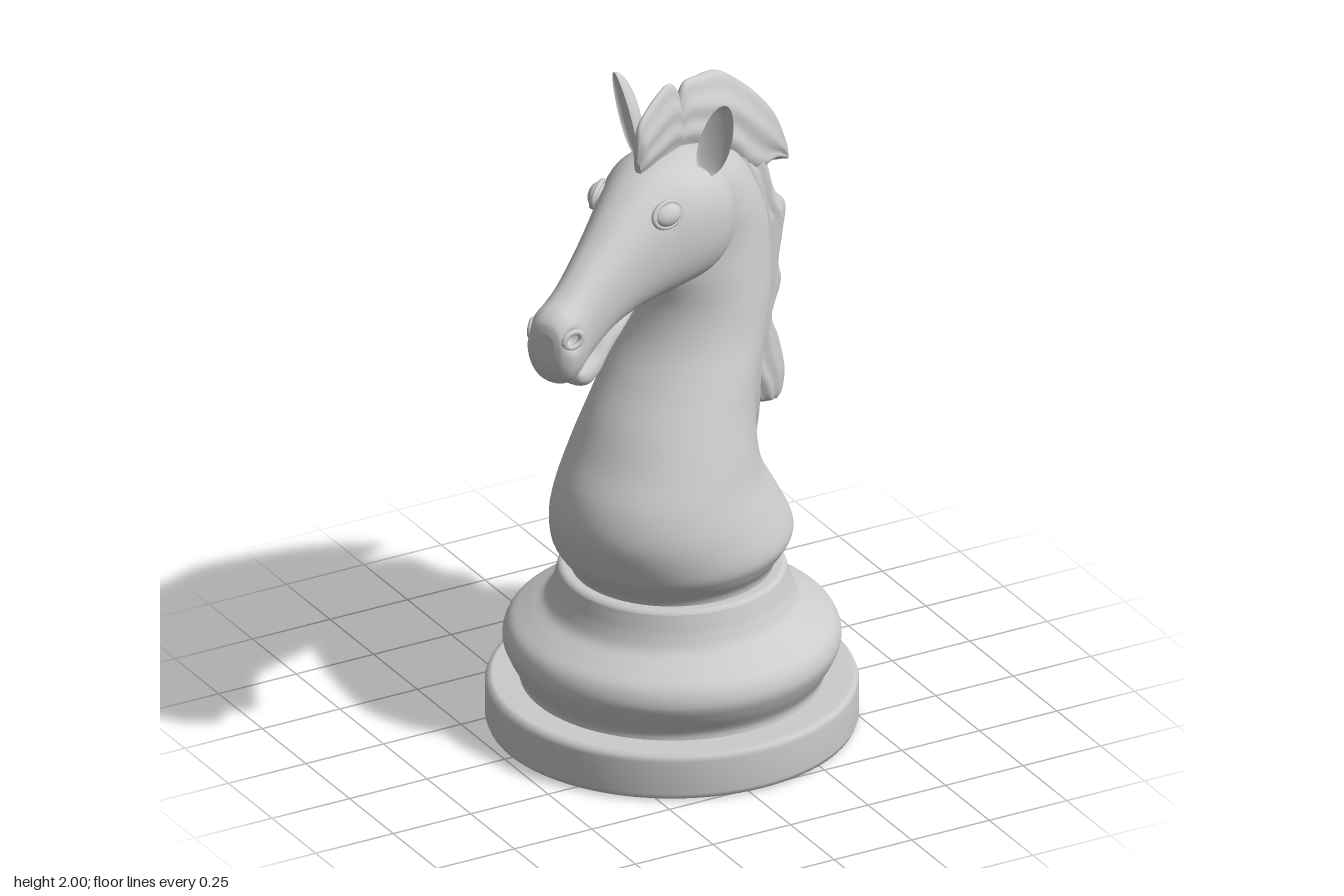
import * as THREE from 'three';

const mat = new THREE.MeshStandardMaterial({ color: 0xcccccc, roughness: 0.6 });
const thinMat = new THREE.MeshStandardMaterial({ color: 0xcccccc, roughness: 0.6, side: THREE.DoubleSide });

function mesh(name, geometry, material = mat) {
  const m = new THREE.Mesh(geometry, material);
  m.name = name;
  return m;
}

// Catmull-Rom interpolation of every field in a list of stations
function sample(stations, t) {
  const f = t * (stations.length - 1);
  const i = Math.min(Math.floor(f), stations.length - 2), k = f - i;
  const at = (j) => stations[Math.max(0, Math.min(stations.length - 1, j))];
  return stations[i].map((p1, c) => {
    const p0 = at(i - 1)[c], p2 = at(i + 1)[c], p3 = at(i + 2)[c];
    const a = (p2 - p0) / 2, b = (p3 - p1) / 2;
    return p1 + k * (a + k * (3 * (p2 - p1) - 2 * a - b + k * (2 * (p1 - p2) + a + b)));
  });
}

// Smooth closed skin through cross-sections; point(station, angle) gives [x, y, z]
function loft(stations, point, rings = 64, sides = 48) {
  const pos = [], idx = [];
  const addRing = (t, collapse) => {
    const s = sample(stations, t), ring = [];
    for (let j = 0; j < sides; j++) ring.push(new THREE.Vector3(...point(s, (j / sides) * Math.PI * 2)));
    const mid = ring.reduce((a, p) => a.add(p), new THREE.Vector3()).divideScalar(sides);
    ring.forEach((p) => pos.push(...(collapse ? mid : p).toArray()));
  };
  addRing(0, true);
  for (let i = 0; i <= rings; i++) addRing(i / rings, false);
  addRing(1, true);
  for (let i = 0; i < rings + 2; i++) {
    for (let j = 0; j < sides; j++) {
      const a = i * sides + j, b = i * sides + ((j + 1) % sides);
      idx.push(a, b, a + sides, b, b + sides, a + sides);
    }
  }
  // Turn the skin outward if its signed volume is negative
  const v = (i) => new THREE.Vector3().fromArray(pos, i * 3);
  let volume = 0;
  for (let i = 0; i < idx.length; i += 3) volume += v(idx[i]).dot(v(idx[i + 1]).cross(v(idx[i + 2])));
  if (volume < 0) idx.reverse();
  const g = new THREE.BufferGeometry();
  g.setAttribute('position', new THREE.Float32BufferAttribute(pos, 3));
  g.setIndex(idx);
  g.computeVertexNormals();
  return g;
}

const power = (v, e) => Math.sign(v) * Math.abs(v) ** e;

// Upright section of the head: [x, bottom, top, half width]
const headSection = ([x, lo, hi, w], a) => [
  x, (lo + hi) / 2 + power(Math.sin(a), 0.9) * (hi - lo) / 2, power(Math.cos(a), 0.85) * w];

// Level section of the neck: [y, centre x, half length, half width]
const neckSection = ([y, c, l, w], a) => [c + Math.cos(a) * l, y, Math.sin(a) * w];

// Lens section of a hair lock: [inner x, inner y, outer x, outer y, half thickness], with strand grooves
const hairSection = ([xi, yi, xo, yo, t], a) => {
  const k = (1 - Math.cos(a)) / 2;
  const groove = 1 - 0.2 * Math.sin(k * Math.PI * 3) ** 2;
  return [xi + (xo - xi) * k, yi + (yo - yi) * k, t * Math.sin(a) * (1.15 - 0.5 * k) * groove];
};

function createBase() {
  const base = new THREE.Group();
  base.name = 'base';
  const lathe = (name, points) =>
    mesh(name, new THREE.LatheGeometry(points.map(([r, y]) => new THREE.Vector2(r, y)), 96));
  base.add(lathe('foot', [
    [0, 0], [0.505, 0], [0.52, 0.005], [0.526, 0.02], [0.526, 0.12], [0.52, 0.135], [0.505, 0.142], [0, 0.142]]));
  const curve = new THREE.SplineCurve([
    [0.43, 0.14], [0.432, 0.165], [0.46, 0.215], [0.477, 0.265], [0.46, 0.315], [0.41, 0.35],
    [0.362, 0.38], [0.34, 0.42], [0.328, 0.46], [0.322, 0.482]].map((p) => new THREE.Vector2(...p)));
  const profile = curve.getPoints(54).map((p) => [p.x, p.y]);
  base.add(lathe('pedestal', [...profile, [0.316, 0.49], [0.305, 0.492], [0, 0.492]]));
  return base;
}

function createHorse() {
  const horse = new THREE.Group();
  horse.name = 'horse';

  horse.add(mesh('neck', loft([
    [0.48, 0, 0.285, 0.285], [0.51, 0, 0.295, 0.29], [0.55, 0, 0.33, 0.315], [0.6, 0, 0.36, 0.333],
    [0.7, 0.04, 0.35, 0.31], [0.8, 0.06, 0.31, 0.28], [0.9, 0.04, 0.268, 0.258], [1.0, 0, 0.245, 0.235],
    [1.1, -0.056, 0.22, 0.22], [1.2, -0.115, 0.205, 0.205], [1.3, -0.15, 0.2, 0.195], [1.4, -0.16, 0.205, 0.182],
    [1.5, -0.16, 0.2, 0.17], [1.6, -0.12, 0.2, 0.16], [1.7, -0.06, 0.19, 0.14], [1.77, 0, 0.13, 0.1],
    [1.8, 0.02, 0.04, 0.03]], neckSection, 100, 64)));

  // Head, with a hollow pressed in at each nostril
  const head = loft([
    [-0.14, 1.53, 1.67, 0.05], [-0.12, 1.475, 1.72, 0.12], [-0.07, 1.425, 1.765, 0.165], [0, 1.402, 1.79, 0.18],
    [0.1, 1.4, 1.8, 0.165], [0.2, 1.4, 1.772, 0.132], [0.3, 1.395, 1.717, 0.103], [0.4, 1.375, 1.65, 0.085],
    [0.5, 1.33, 1.588, 0.075], [0.56, 1.3, 1.555, 0.078], [0.61, 1.31, 1.535, 0.078], [0.64, 1.35, 1.51, 0.06],
    [0.65, 1.39, 1.48, 0.035]], headSection, 120, 72);
  const p = head.attributes.position;
  for (let i = 0; i < p.count; i++) {
    const d = Math.hypot(p.getX(i) - 0.605, p.getY(i) - 1.46);
    p.setZ(i, p.getZ(i) * (1 - 0.45 * Math.exp(-((d / 0.022) ** 2))));
  }
  head.computeVertexNormals();
  horse.add(mesh('head', head));

  horse.add(mesh('lowerJaw', loft([
    [0.24, 1.4, 1.46, 0.05], [0.34, 1.365, 1.42, 0.065], [0.4, 1.31, 1.385, 0.058], [0.44, 1.265, 1.35, 0.054],
    [0.48, 1.25, 1.33, 0.05], [0.515, 1.265, 1.315, 0.038], [0.525, 1.28, 1.305, 0.015]], headSection)));

  for (const s of [-1, 1]) {
    const side = s > 0 ? 'right' : 'left';
    // Eye with its lid
    const eye = new THREE.Group();
    eye.name = side + 'Eye';
    const ball = mesh('eyeball', new THREE.SphereGeometry(1, 32, 20));
    ball.scale.set(0.046, 0.033, 0.026);
    const lid = mesh('eyelid', new THREE.TorusGeometry(0.046, 0.008, 10, 40));
    lid.scale.set(1.05, 0.78, 1);
    eye.add(ball, lid);
    eye.position.set(0.2, 1.698, s * 0.118);
    eye.rotation.set(-s * 0.25, s > 0 ? 0.28 : Math.PI - 0.28, 0);
    horse.add(eye);

    const rim = mesh(side + 'NostrilRim', new THREE.TorusGeometry(0.026, 0.009, 10, 32));
    rim.scale.set(1.15, 0.9, 1);
    rim.position.set(0.605, 1.46, s * 0.068);
    rim.rotation.y = s * 0.35;
    horse.add(rim);

    // Cupped ear, opening forward and outward
    const cup = new THREE.SphereGeometry(1, 32, 24);
    const q = cup.attributes.position;
    for (let i = 0; i < q.count; i++) {
      const y = q.getY(i), z = q.getZ(i);
      q.setXYZ(i, q.getX(i) * (1 - 0.15 * y) * 0.045, y * 0.125, (z > 0 ? -0.45 * z : z) * 0.045);
    }
    cup.computeVertexNormals();
    const ear = mesh(side + 'Ear', cup, thinMat);
    ear.position.set(0.01, 1.86, s * 0.155);
    ear.rotation.set(s * 0.28, Math.atan2(0.85, 0.5 * s), 0);
    horse.add(ear);
  }

  // Mane in overlapping locks
  const mane = new THREE.Group();
  mane.name = 'mane';
  const locks = {
    forelock: [
      [0.17, 1.78, 0.18, 1.82, 0.012], [0.14, 1.77, 0.172, 1.92, 0.028], [0.09, 1.77, 0.12, 1.965, 0.034],
      [0.04, 1.77, 0.03, 2.0, 0.036], [0, 1.77, -0.015, 1.975, 0.036], [-0.04, 1.77, -0.04, 1.9, 0.02]],
    crest: [
      [0.02, 1.76, -0.02, 1.9, 0.02], [-0.02, 1.76, -0.06, 1.97, 0.038], [-0.08, 1.73, -0.13, 1.965, 0.055],
      [-0.14, 1.69, -0.22, 1.945, 0.07], [-0.2, 1.64, -0.31, 1.885, 0.077], [-0.25, 1.58, -0.42, 1.79, 0.075],
      [-0.33, 1.55, -0.51, 1.69, 0.062], [-0.44, 1.56, -0.565, 1.59, 0.038], [-0.54, 1.53, -0.585, 1.54, 0.015],
      [-0.587, 1.51, -0.59, 1.512, 0.002]],
    backLock: [
      [-0.22, 1.68, -0.3, 1.8, 0.05], [-0.27, 1.56, -0.43, 1.62, 0.08], [-0.29, 1.46, -0.49, 1.47, 0.085],
      [-0.3, 1.4, -0.55, 1.4, 0.085], [-0.29, 1.31, -0.54, 1.32, 0.08], [-0.29, 1.22, -0.52, 1.23, 0.075],
      [-0.28, 1.15, -0.535, 1.16, 0.07], [-0.27, 1.07, -0.49, 1.07, 0.065], [-0.28, 0.97, -0.53, 0.98, 0.055],
      [-0.36, 0.88, -0.562, 0.87, 0.045], [-0.42, 0.82, -0.55, 0.8, 0.03], [-0.48, 0.795, -0.53, 0.785, 0.006]],
    sideLock: [
      [-0.2, 1.66, -0.29, 1.7, 0.08], [-0.25, 1.56, -0.36, 1.57, 0.105], [-0.28, 1.42, -0.41, 1.42, 0.12],
      [-0.26, 1.25, -0.41, 1.25, 0.125], [-0.21, 1.1, -0.39, 1.1, 0.12], [-0.175, 0.95, -0.39, 0.95, 0.115],
      [-0.185, 0.85, -0.4, 0.85, 0.1], [-0.23, 0.77, -0.405, 0.76, 0.07], [-0.3, 0.7, -0.4, 0.7, 0.04],
      [-0.35, 0.675, -0.38, 0.673, 0.006]],
  };
  for (const [name, stations] of Object.entries(locks)) mane.add(mesh(name, loft(stations, hairSection, 90, 56)));
  horse.add(mane);

  // Built facing +x, then turned on the base
  horse.rotation.y = Math.PI + 0.471;
  return horse;
}

export function createModel() {
  const model = new THREE.Group();
  model.name = 'knightPiece';
  model.add(createBase(), createHorse());
  model.position.x = 0.04;
  const root = new THREE.Group();
  root.add(model);
  return root;
}
